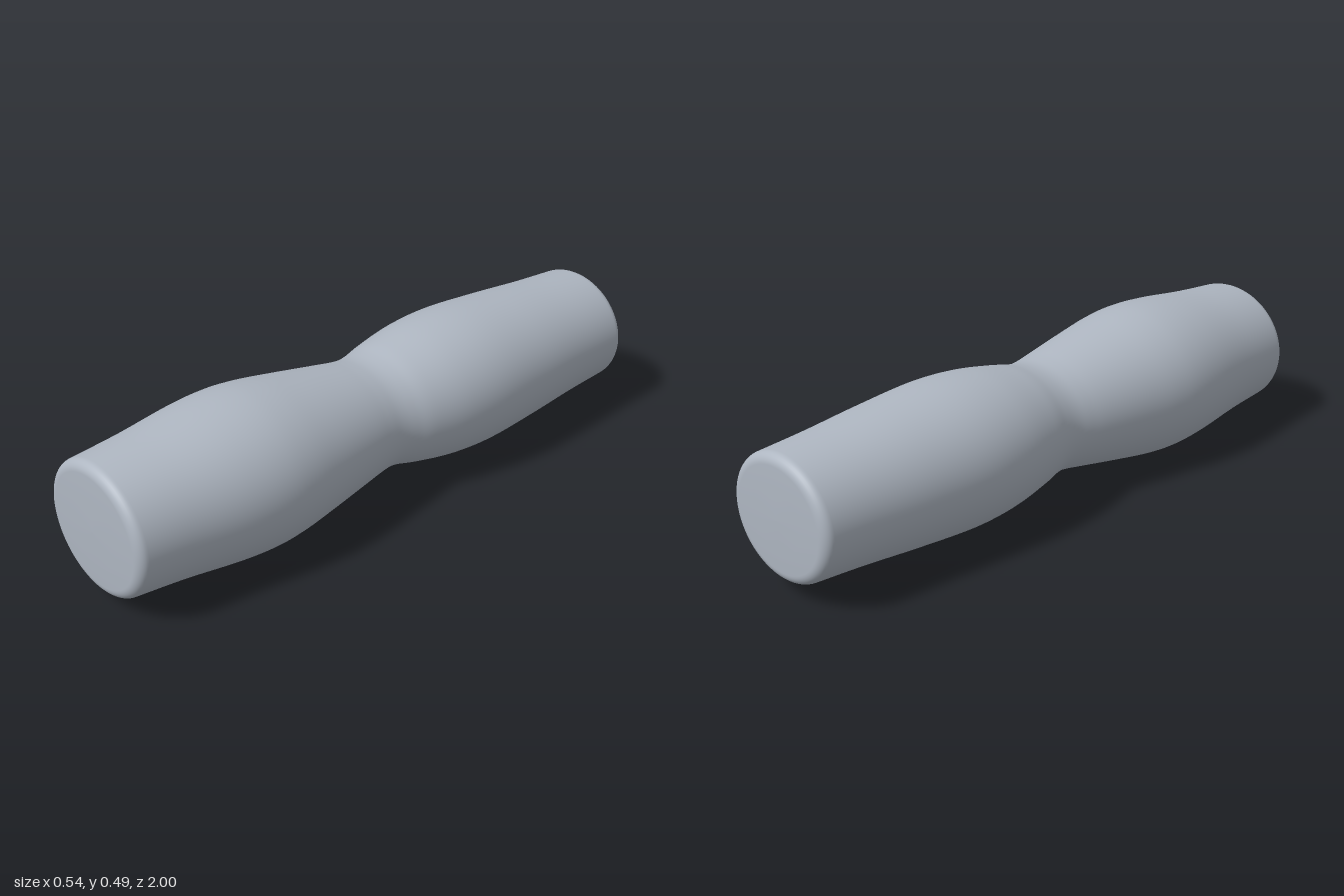
import * as THREE from 'three';

export function createModel() {
  const group = new THREE.Group();
  const paleSteel = new THREE.MeshStandardMaterial({ color: 0xaeb6c1 });
  paleSteel.name = 'paleSteel';

  // Side profile as (half width, z), from back to front
  const side = new THREE.SplineCurve([
    [0.208, -0.965], [0.219, -0.8], [0.237, -0.6], [0.25, -0.4], [0.242, -0.25],
    [0.218, -0.12], [0.2, -0.05], [0.194, 0], [0.199, 0.05], [0.212, 0.12], [0.242, 0.28],
    [0.262, 0.4], [0.269, 0.5], [0.262, 0.62], [0.239, 0.8], [0.224, 0.965],
  ].map(([r, z]) => new THREE.Vector2(r, z))).getPoints(90);

  // Rounded rim leading from the side to a nearly flat end
  const rim = (radius, dir) => {
    const pts = [];
    for (let i = 1; i <= 8; i++) {
      const a = (i / 8) * Math.PI / 2;
      pts.push(new THREE.Vector2(radius - 0.035 * (1 - Math.cos(a)), dir * (0.965 + 0.031 * Math.sin(a))));
    }
    pts.push(new THREE.Vector2(radius * 0.5, dir * 0.999), new THREE.Vector2(0, dir));
    return pts;
  };
  const profile = [...rim(0.208, -1).reverse(), ...side, ...rim(0.224, 1)];

  // Lay the turned shape along z and flatten it to an oval section
  const geometry = new THREE.LatheGeometry(profile, 96);
  geometry.rotateX(Math.PI / 2);
  geometry.scale(1, 0.919, 1);
  geometry.translate(0, 0.2475, 0);

  const body = new THREE.Mesh(geometry, paleSteel);
  body.name = 'waistedBody';
  group.add(body);
  return group;
}
